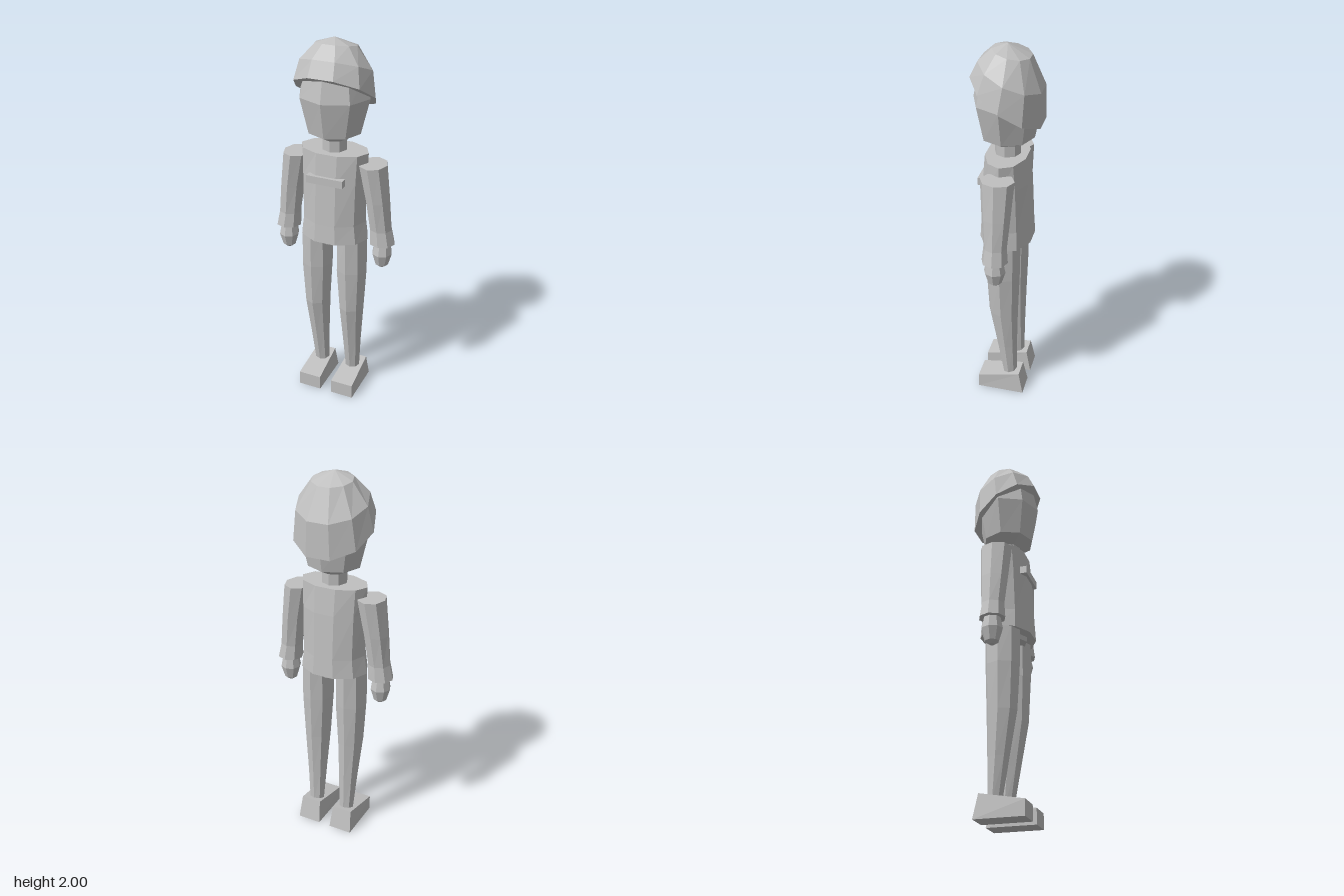
import * as THREE from 'three';

const clay = new THREE.MeshStandardMaterial({ color: 0xc0c0c0 });
clay.name = 'clay grey';
clay.flatShading = true;

// Stack of elliptical rings, bottom to top: [y, cx, cz, rx, rz, forward tilt]
function loft(name, sides, rings, apexY) {
  const pos = [];
  const point = ([y, cx, cz, rx, rz, tilt = 0], i) => {
    const a = (i / sides) * Math.PI * 2;
    return [cx + rx * Math.cos(a), y + tilt * Math.sin(a), cz + rz * Math.sin(a)];
  };
  const tri = (...pts) => pts.forEach((p) => pos.push(...p));
  const first = rings[0];
  const last = rings[rings.length - 1];
  const topCentre = apexY === undefined ? [last[1], last[0], last[2]] : [last[1], apexY, 0];
  for (let i = 0; i < sides; i++) {
    for (let r = 0; r < rings.length - 1; r++) {
      const a = point(rings[r], i), b = point(rings[r], i + 1);
      const c = point(rings[r + 1], i), d = point(rings[r + 1], i + 1);
      tri(a, c, b);
      tri(b, c, d);
    }
    tri([first[1], first[0], first[2]], point(first, i), point(first, i + 1));
    tri(topCentre, point(last, i + 1), point(last, i));
  }
  const geo = new THREE.BufferGeometry();
  geo.setAttribute('position', new THREE.Float32BufferAttribute(pos, 3));
  geo.computeVertexNormals();
  const mesh = new THREE.Mesh(geo, clay);
  mesh.name = name;
  return mesh;
}

// Wedge shoe: box with a sloping, slightly narrower top
function shoe(name, x) {
  const geo = new THREE.BoxGeometry(0.128, 0.12, 0.255).toNonIndexed();
  const p = geo.attributes.position;
  for (let i = 0; i < p.count; i++) {
    const front = p.getZ(i) > 0;
    if (p.getY(i) < 0) {
      p.setXYZ(i, p.getX(i), 0, front ? 0.13 : -0.125);
    } else {
      p.setXYZ(i, p.getX(i) * (front ? 0.98 : 0.86), front ? 0.08 : 0.123, front ? 0.13 : -0.1);
    }
  }
  geo.computeVertexNormals();
  const mesh = new THREE.Mesh(geo, clay);
  mesh.name = name;
  mesh.position.x = x;
  return mesh;
}

export function createModel() {
  const model = new THREE.Group();
  model.name = 'figure';

  // Head and neck
  model.add(loft('head', 8, [
    [1.5, 0, 0, 0.07, 0.07],
    [1.535, 0, 0, 0.138, 0.135],
    [1.72, 0, 0, 0.185, 0.171],
    [1.84, 0, 0, 0.16, 0.145],
    [1.93, 0, -0.01, 0.08, 0.07],
  ]));
  model.add(loft('neck', 8, [
    [1.4, 0, 0, 0.066, 0.066],
    [1.51, 0, 0, 0.066, 0.066],
  ]));

  // Hair cap with the rim dropping towards the back
  model.add(loft('hair', 10, [
    [1.728, 0, -0.003, 0.21, 0.181, 0.119],
    [1.855, 0, -0.021, 0.186, 0.161, 0.068],
    [1.962, 0, -0.021, 0.106, 0.096, 0.018],
  ], 2));

  // Jacket with chest bar and the pelvis beneath
  model.add(loft('torso', 10, [
    [0.96, 0, 0, 0.186, 0.14],
    [1.06, 0, 0, 0.172, 0.134],
    [1.3, 0, 0, 0.176, 0.122],
    [1.44, 0, 0, 0.182, 0.108],
  ]));
  const bar = new THREE.Mesh(new THREE.BoxGeometry(0.195, 0.04, 0.035), clay);
  bar.name = 'chestBar';
  bar.position.set(-0.001, 1.306, 0.113);
  model.add(bar);
  model.add(loft('pelvis', 8, [
    [0.935, 0, 0, 0.08, 0.1],
    [1.0, 0, 0, 0.1, 0.105],
  ]));

  // Mirrored limbs
  for (const [side, s] of [['left', 1], ['right', -1]]) {
    model.add(loft(side + 'Sleeve', 8, [
      [0.96, s * 0.266, 0, 0.067, 0.068],
      [1.04, s * 0.256, 0, 0.059, 0.06],
      [1.2, s * 0.237, 0, 0.062, 0.073],
      [1.39, s * 0.207, 0, 0.071, 0.086],
    ]));
    model.add(loft(side + 'Hand', 8, [
      [0.82, s * 0.267, 0, 0.015, 0.015],
      [0.835, s * 0.267, 0, 0.034, 0.036],
      [0.9, s * 0.267, 0, 0.053, 0.056],
      [0.98, s * 0.267, 0, 0.038, 0.04],
    ]));
    model.add(loft(side + 'Leg', 8, [
      [0.1, s * 0.093, -0.037, 0.041, 0.038],
      [0.3, s * 0.096, -0.02, 0.052, 0.056],
      [0.53, s * 0.1, -0.002, 0.068, 0.079],
      [0.77, s * 0.099, 0.001, 0.084, 0.09],
      [0.97, s * 0.099, 0, 0.081, 0.092],
    ]));
    model.add(shoe(side + 'Shoe', s * 0.097));
  }
  return model;
}
